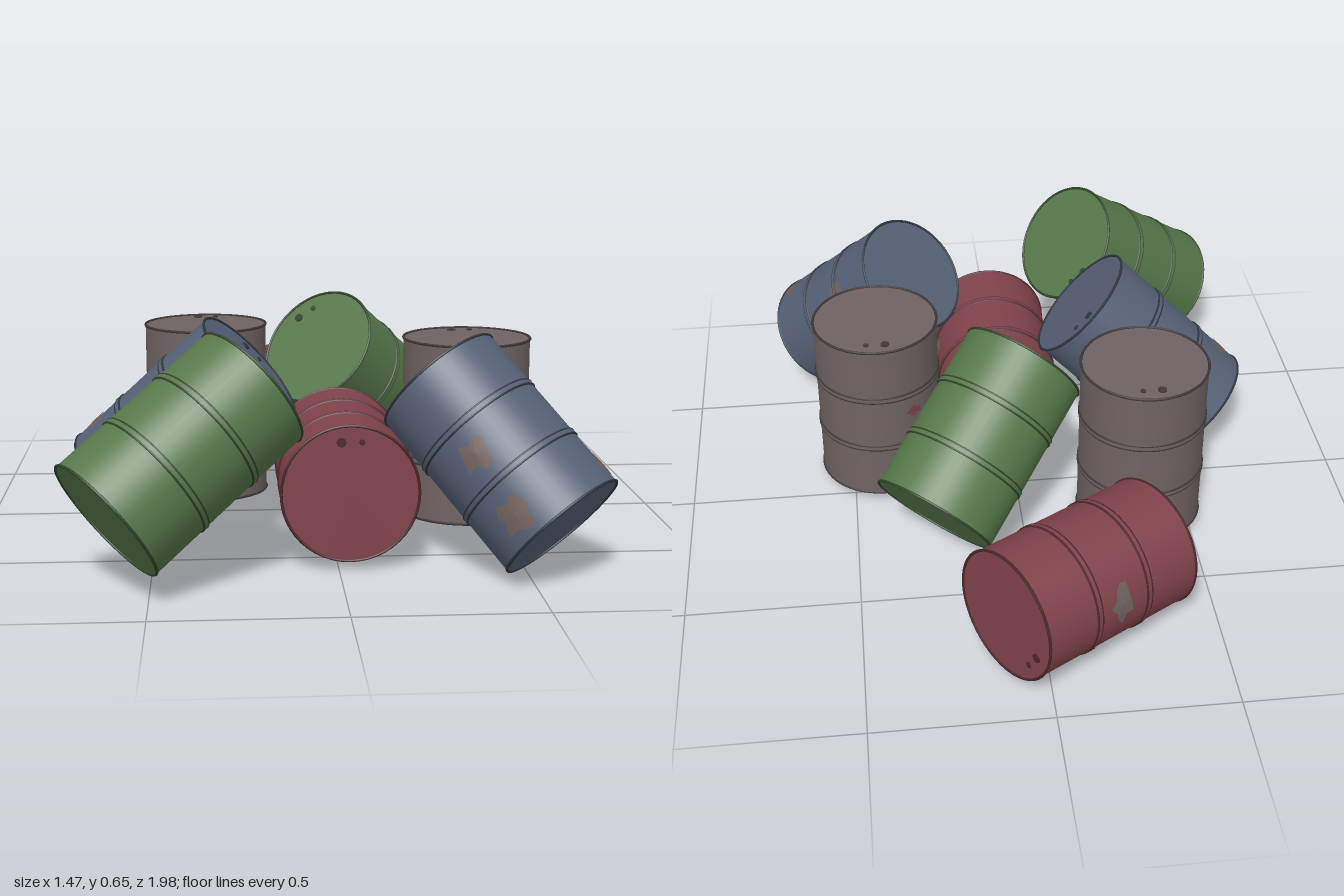
import * as THREE from 'three';

const R = 0.185, H = 0.525, SEG = 48;

const mat = (name, color) => {
  const m = new THREE.MeshStandardMaterial({ color });
  m.name = name;
  return m;
};

// A ragged paint patch wrapped round the drum wall
function patchGeometry(theta, y, w, h) {
  const geo = new THREE.RingGeometry(0.001, 1, 12, 2);
  const p = geo.attributes.position;
  for (let i = 0; i < p.count; i++) {
    const k = i % 13 % 12;
    const jag = 0.82 + 0.25 * Math.sin(k * 2.4 + theta * 5);
    const a = theta + p.getX(i) * w * jag / R;
    const v = y + p.getY(i) * h * jag;
    p.setXYZ(i, Math.sin(a) * (R + 0.003), v, Math.cos(a) * (R + 0.003));
  }
  geo.computeVertexNormals();
  return geo;
}

export function createModel() {
  const model = new THREE.Group();
  model.name = 'barrelPile';

  const paint = {
    red: mat('red paint', 0x80434a),
    green: mat('green paint', 0x57784a),
    blue: mat('blue paint', 0x566176),
    grey: mat('grey paint', 0x6e6362),
    rust: mat('rust', 0x72605a),
  };
  const trim = {
    red: mat('dark red trim', 0x4c272b),
    green: mat('dark green trim', 0x31452a),
    blue: mat('dark blue trim', 0x31373f),
    grey: mat('dark grey trim', 0x403938),
  };

  const wallGeo = new THREE.CylinderGeometry(R, R, H - 0.01, SEG, 1, true);
  const lidGeo = new THREE.CircleGeometry(R, SEG);
  const hoopGeo = new THREE.TorusGeometry(R, 0.004, 6, SEG);
  const ridgeGeo = new THREE.CylinderGeometry(R + 0.003, R + 0.003, 0.014, SEG, 1, true);
  const bungGeo = new THREE.CylinderGeometry(1, 1, 0.006, 16);

  // One drum, its axis running from the lower to the upper end point
  function barrel(name, color, lower, upper, patches = []) {
    const a = new THREE.Vector3(...lower), b = new THREE.Vector3(...upper);
    const g = new THREE.Group();
    g.name = name;
    g.position.copy(a).add(b).multiplyScalar(0.5);
    g.quaternion.setFromUnitVectors(new THREE.Vector3(0, 1, 0), b.clone().sub(a).normalize());
    const add = (part, geo, material, y = 0, rx = 0) => {
      const m = new THREE.Mesh(geo, material);
      m.name = part;
      m.position.y = y;
      m.rotation.x = rx;
      g.add(m);
      return m;
    };

    add('wall', wallGeo, paint[color]);
    for (const s of [-1, 1]) {
      add('lid', lidGeo, paint[color], s * (H / 2 - 0.005), -s * Math.PI / 2);
      add('rim', hoopGeo, trim[color], s * (H / 2 - 0.004), Math.PI / 2);
      // Rolled hoop: raised band between two dark creases
      add('hoopBand', ridgeGeo, paint[color], s * H / 6);
      for (const d of [-0.007, 0.007])
        add('hoopCrease', hoopGeo, trim[color], s * H / 6 + d, Math.PI / 2);
    }
    // Filler caps on the upper lid
    for (const [x, r] of [[-0.025, 0.013], [0.03, 0.008]]) {
      const bung = add('fillerCap', bungGeo, trim[color], H / 2 - 0.004);
      bung.position.x = x;
      bung.position.z = -0.14;
      bung.scale.set(r, 1, r);
    }
    // Patches: colour, nearby point, half width and half height
    const inv = g.quaternion.clone().invert();
    for (const [c, point, w, h] of patches) {
      const q = new THREE.Vector3(...point).sub(g.position).applyQuaternion(inv);
      add('paintPatch', patchGeometry(Math.atan2(q.x, q.z), q.y, w, h), paint[c]);
    }
    model.add(g);
  }

  // Standing drums
  barrel('standingBarrelBack', 'grey', [-0.355, 0.04, -0.18], [-0.355, 0.565, -0.18]);
  barrel('standingBarrelRight', 'grey', [0.41, 0.04, 0.135], [0.41, 0.565, 0.135],
    [['red', [0.31, 0.33, -0.02], 0.03, 0.02]]);

  // Drums lying flat
  barrel('lyingBarrelCentre', 'red', [0.03, 0.222, 0.102], [0.03, 0.222, 0.628],
    [['grey', [0.21, 0.26, 0.39], 0.055, 0.035]]);
  barrel('lyingBarrelBack', 'red', [-0.32, 0.215, -0.555], [0.12, 0.235, -0.835],
    [['grey', [-0.19, 0.26, -0.85], 0.065, 0.038]]);

  // Drums leaning on the heap
  barrel('leaningBarrelBack', 'green', [0.28, 0.21, -0.38], [-0.02, 0.51, -0.06]);
  barrel('leaningBarrelFrontLeft', 'green', [-0.605, 0.213, 0.815], [-0.23, 0.51, 0.61],
    [['red', [-0.34, 0.2, 0.62], 0.02, 0.02]]);
  barrel('leaningBarrelLeft', 'blue', [-0.605, 0.147, 0.175], [-0.225, 0.503, 0.255], [
    ['rust', [-0.67, 0.34, 0.2], 0.045, 0.035],
    ['rust', [-0.52, 0.35, 0.04], 0.025, 0.03],
    ['rust', [-0.5, 0.1, 0.08], 0.04, 0.03],
  ]);
  barrel('leaningBarrelFrontRight', 'blue', [0.58, 0.15, 0.73], [0.28, 0.5, 0.48], [
    ['rust', [0.34, 0.36, 0.766], 0.055, 0.05],
    ['rust', [0.43, 0.22, 0.847], 0.06, 0.06],
    ['rust', [0.68, 0.32, 0.73], 0.04, 0.04],
    ['rust', [0.53, 0.46, 0.48], 0.025, 0.04],
    ['green', [0.56, 0.28, 0.47], 0.045, 0.035],
  ]);

  return model;
}
